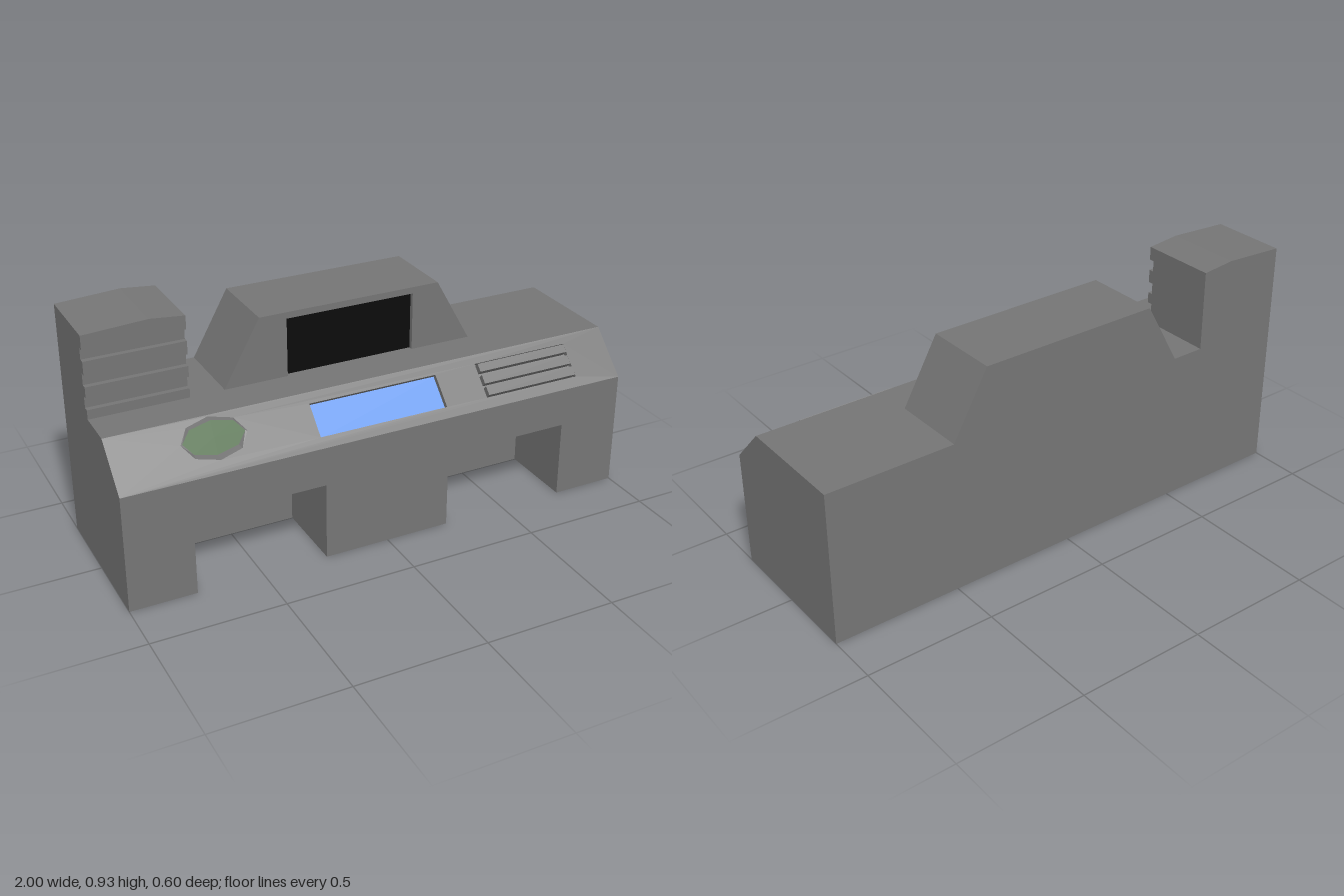
import * as THREE from 'three';

const material = (name, color) => Object.assign(new THREE.MeshStandardMaterial({ color }), { name });

const shapeOf = (pts) => new THREE.Shape(pts.map(([x, y]) => new THREE.Vector2(x, y)));
const rectPath = (x0, x1, y0, y1) =>
  new THREE.Path([[x0, y0], [x0, y1], [x1, y1], [x1, y0]].map(([x, y]) => new THREE.Vector2(x, y)));

// Prism of an outline in the xy plane, from z0 to z1
const prism = (shape, z0, z1) =>
  new THREE.ExtrudeGeometry(shape, { depth: z1 - z0, bevelEnabled: false }).translate(0, 0, z0);

const box = (x0, x1, y0, y1, z0, z1) =>
  new THREE.BoxGeometry(x1 - x0, y1 - y0, z1 - z0).translate((x0 + x1) / 2, (y0 + y1) / 2, (z0 + z1) / 2);

// Flat faces from a list of triangles of [x, y, z] corners
function facets(triangles) {
  const g = new THREE.BufferGeometry();
  g.setAttribute('position', new THREE.Float32BufferAttribute(triangles.flat(2), 3));
  g.computeVertexNormals();
  return g;
}

export function createModel() {
  const grey = material('grey casing', 0x757575);
  const black = material('black glass', 0x0b0b0b);
  const blue = material('blue display', 0x5f96ec);
  const green = material('green scope', 0x4d6e45);

  const model = new THREE.Group();
  model.name = 'controlConsole';
  const add = (name, geometry, mat = grey, parent = model) => {
    const mesh = new THREE.Mesh(geometry, mat);
    mesh.name = name;
    parent.add(mesh);
    return mesh;
  };

  // Desk body, with a bed cut out for the sloping panel
  const depth = 0.02, d = depth * Math.SQRT1_2;
  const profile = [[-0.3, 0.3], [0.3, 0.3], [0.3, 0.45], [0.3 - d, 0.45 - d], [0.15 - d, 0.6 - d], [0.15, 0.6], [-0.3, 0.6]];
  const desk = prism(shapeOf(profile.map(([z, y]) => [-z, y])), -1, 1).rotateY(Math.PI / 2);
  add('deskBody', desk);

  // Base with two knee recesses between three pedestals
  add('baseBack', box(-1, 1, 0, 0.3, -0.3, 0));
  for (const [x0, x1] of [[-1, -0.75], [-0.25, 0.25], [0.75, 1]]) {
    add('pedestal', box(x0, x1, 0, 0.3, 0, 0.3));
  }

  // Sloping panel: local y runs up the slope, local z out of it
  const panel = new THREE.Group();
  panel.name = 'slopingPanel';
  panel.position.set(0, 0.45, 0.3);
  panel.rotation.x = -Math.PI / 4;
  model.add(panel);

  const ring = (cx, cy, cz, rx, ry, rz) => Array.from({ length: 8 }, (_, k) => {
    const a = (k * Math.PI) / 4;
    return [cx + rx * Math.cos(a), cy + ry * Math.sin(a), cz + rz * Math.sin(a)];
  });
  const outer = ring(-0.627, 0.127, 0, 0.122, 0.08, 0);
  const inner = ring(-0.627, 0.1295, -0.001, 0.115, 0.0575, 0.018);

  const plate = shapeOf([[-1, 0], [1, 0], [1, 0.15 * Math.SQRT2], [-1, 0.15 * Math.SQRT2]]);
  plate.holes.push(
    rectPath(-0.255, 0.255, 0.042, 0.17),
    rectPath(0.425, 0.82, 0.04, 0.177),
    new THREE.Path(outer.map(([x, y]) => new THREE.Vector2(x, y))),
  );
  add('panelPlate', prism(plate, -depth, 0), grey, panel);
  add('display', box(-0.255, 0.255, 0.042, 0.17, -depth, -depth + 0.002), blue, panel);

  // Vent slats
  for (const [y0, y1] of [[0.046, 0.081], [0.092, 0.127], [0.14, 0.172]]) {
    add('ventSlat', box(0.432, 0.813, y0, y1, -depth, 0.01), grey, panel);
  }

  // Eight-sided scope, tilted more upright than the panel, in a sloped rim
  const rim = [], face = [];
  for (let k = 0; k < 8; k++) {
    const n = (k + 1) % 8;
    rim.push([outer[k], outer[n], inner[n]], [outer[k], inner[n], inner[k]]);
    face.push([[-0.627, 0.1295, -0.001], inner[k], inner[n]]);
  }
  add('scopeRim', facets(rim), grey, panel);
  add('scopeFace', facets(face), green, panel);

  // Monitor housing with a shallow screen recess
  const housing = [[-0.5, 0.6], [0.5, 0.6], [0.36, 0.85], [-0.36, 0.85]];
  const frame = [[-0.5, 0.6], [-0.255, 0.6], [-0.255, 0.825], [0.255, 0.825], [0.255, 0.6], ...housing.slice(1)];
  add('monitorHousing', prism(shapeOf(housing), -0.3, -0.02));
  add('monitorFrame', prism(shapeOf(frame), -0.02, 0));
  add('monitorScreen', box(-0.255, 0.255, 0.6, 0.825, -0.02, -0.017), black);

  // Tower with grooves across its front
  const top = [[-0.63, 0.912], [-0.76, 0.925], [-1, 0.912]];
  const tower = (y) => shapeOf([[-1, y], [-0.63, y], ...top]);
  add('towerBody', prism(tower(0.6), -0.3, -0.02));
  add('towerCap', prism(tower(0.86), -0.02, 0));
  for (const [y0, y1] of [[0.6, 0.636], [0.68, 0.722], [0.766, 0.817]]) {
    add('towerBand', box(-1, -0.63, y0, y1, -0.02, 0));
  }

  return model;
}
